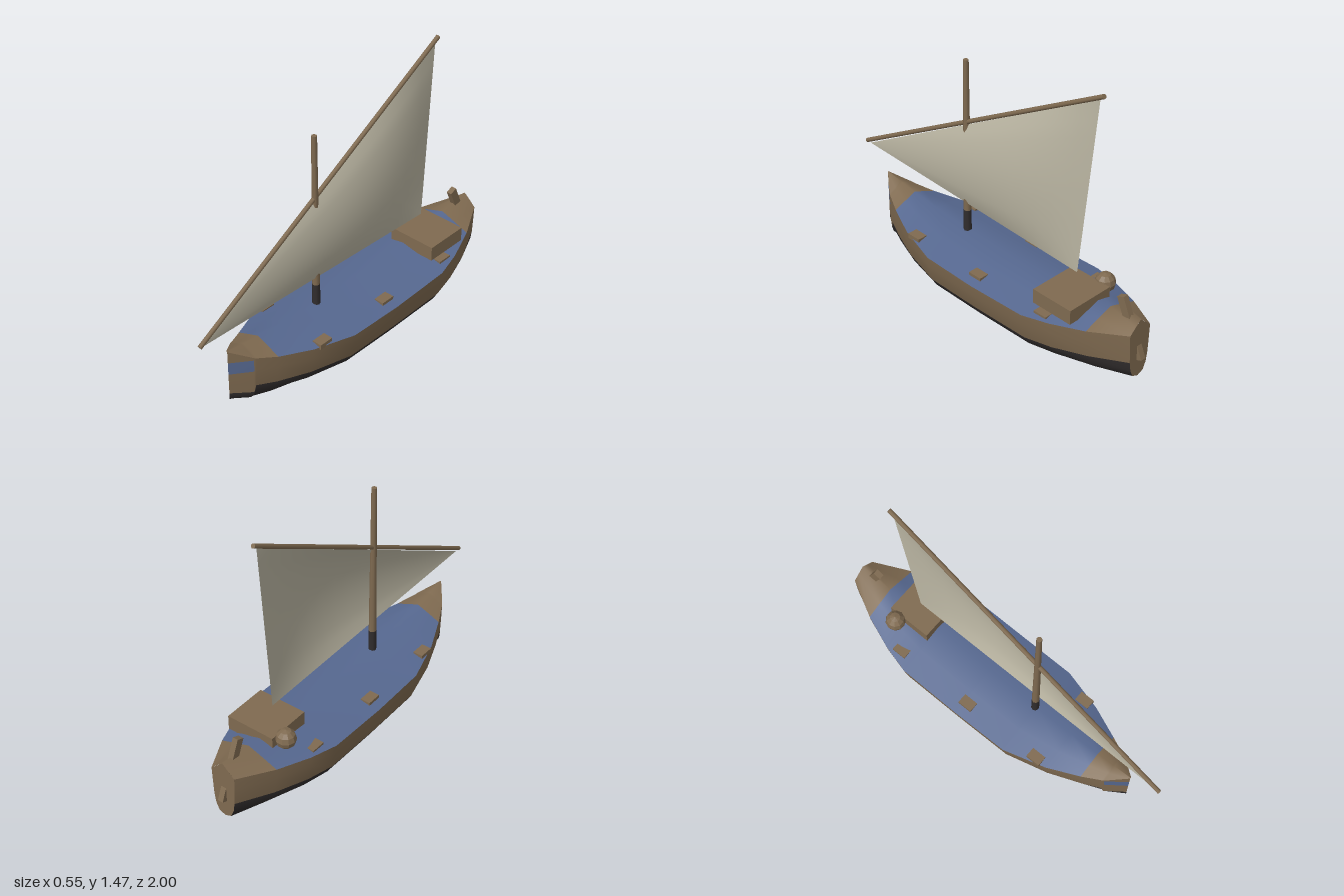
import * as THREE from 'three';

const mat = (name, color, extra = {}) => {
  const m = new THREE.MeshStandardMaterial({ color, ...extra });
  m.name = name;
  return m;
};

// Skin a list of equal-length rings; pick(i, j) gives each cell its material index
function loft(rings, pick = () => 0) {
  const n = rings[0].length;
  const buckets = [];
  for (let i = 0; i < rings.length - 1; i++) {
    for (let j = 0; j < n - 1; j++) {
      const a = i * n + j, b = a + 1, c = b + n, d = a + n;
      (buckets[pick(i, j)] ??= []).push(a, b, c, a, c, d);
    }
  }
  const geo = new THREE.BufferGeometry();
  geo.setAttribute('position', new THREE.Float32BufferAttribute(rings.flat(2), 3));
  const index = [];
  buckets.forEach((list, m) => {
    geo.addGroup(index.length, list.length, m);
    index.push(...list);
  });
  geo.setIndex(index);
  geo.computeVertexNormals();
  return geo;
}

// Hull stations, bow to stern: z, half width, keel, waterline, deck edge, deck centre, stripe bottom and top
const STATIONS = [
  [0.83, 0.004, 0.08, 0.12, 0.38, 0.385, 0.46, 0.73],
  [0.73, 0.082, 0.045, 0.105, 0.325, 0.365, 0.61, 0.93],
  [0.72, 0.087, 0.042, 0.145, 0.32, 0.363, 0.6, 0.9],
  [0.62, 0.135, 0.025, 0.13, 0.295, 0.35, 0.6, 0.87],
  [0.45, 0.208, 0.012, 0.12, 0.275, 0.331, 0.6, 0.85],
  [0.22, 0.272, 0.003, 0.112, 0.26, 0.317, 0.6, 0.85],
  [-0.1, 0.275, 0, 0.11, 0.254, 0.312, 0.6, 0.85],
  [-0.45, 0.274, 0.004, 0.115, 0.266, 0.323, 0.6, 0.85],
  [-0.6, 0.237, 0.01, 0.122, 0.278, 0.335, 0.6, 0.85],
  [-0.78, 0.17, 0.023, 0.138, 0.295, 0.355, 0.6, 0.85],
  [-0.97, 0.07, 0.045, 0.155, 0.317, 0.38, 0.6, 0.85],
];

// Cross-section from the left deck edge, under the keel, to the right deck edge
function section([z, w, keel, wl, edge, , lo, hi]) {
  const top = edge - wl, low = wl - keel;
  const half = [
    [w, edge, z],
    [w * 0.99, wl + top * hi, z],
    [w * 0.965, wl + top * lo, z],
    [w * 0.9, wl, z],
    [w * 0.78, keel + low * 0.52, z],
    [w * 0.54, keel + low * 0.15, z],
  ];
  return [...half, [0, keel, z], ...half.map(([x, y]) => [-x, y, z]).reverse()];
}

export function createModel() {
  const group = new THREE.Group();
  const wood = mat('wood', 0x7f6a50);
  const blue = mat('deckBlue', 0x566890);
  const dark = mat('darkTar', 0x312d2d);
  const cloth = mat('sailCloth', 0xbab5a2, { side: THREE.DoubleSide });

  const add = (name, geo, material, x = 0, y = 0, z = 0) => {
    const mesh = new THREE.Mesh(geo, material);
    mesh.name = name;
    mesh.position.set(x, y, z);
    group.add(mesh);
    return mesh;
  };

  // Hull: dark bottom, wooden topsides, blue bow patches
  const rings = STATIONS.map(section);
  add('hull', loft(rings, (i, j) => {
    if (j >= 3 && j <= 8) return 2;
    return i === 0 && (j === 1 || j === 10) ? 1 : 0;
  }), [wood, blue, dark]);

  // Cambered deck, bare wood at both ends
  const deck = STATIONS.map(([z, w, , , edge, centre]) => {
    const mid = edge + (centre - edge) * 0.52;
    return [[-w, edge, z], [-w / 2, mid, z], [0, centre, z], [w / 2, mid, z], [w, edge, z]];
  });
  add('deck', loft(deck, (i) => (i >= 3 && i <= 8 ? 1 : 0)), [wood, blue]);

  // Flat transom closing the stern
  const outline = [[0, 0.38], ...rings.at(-1)].map(([x, y]) => new THREE.Vector2(x, y));
  const transom = new THREE.ShapeGeometry(new THREE.Shape(outline));
  transom.rotateY(Math.PI);
  add('transom', transom, wood, 0, 0, -0.97);

  // Slanted rudder post passing through the stern
  add('rudderPost', new THREE.BoxGeometry(0.03, 0.332, 0.044), wood, 0, 0.303, -0.915).rotation.x = 0.4;

  // Deck fittings
  add('hatch', new THREE.BoxGeometry(0.275, 0.08, 0.245), wood, 0.057, 0.343, -0.578);
  const ball = new THREE.SphereGeometry(0.054, 10, 6).toNonIndexed();
  ball.computeVertexNormals();
  add('roundPot', ball, wood, -0.115, 0.365, -0.64);
  for (const side of [1, -1]) {
    for (const [z, y] of [[0.378, 0.276], [-0.078, 0.268], [-0.53, 0.276]]) {
      add('cleat', new THREE.BoxGeometry(0.055, 0.028, 0.08), wood, side * 0.198, y, z);
    }
  }

  // Mast with a tarred foot
  add('mastFoot', new THREE.CylinderGeometry(0.02, 0.021, 0.14, 8), dark, 0, 0.365, 0.21);
  add('mast', new THREE.CylinderGeometry(0.014, 0.02, 0.865, 8), wood, 0, 0.8675, 0.21);

  // Slanting yard
  const low = new THREE.Vector3(0, 0.508, 0.995);
  const high = new THREE.Vector3(0, 1.458, -0.685);
  const yard = add('yard', new THREE.CylinderGeometry(0.012, 0.012, low.distanceTo(high), 8), wood);
  yard.position.lerpVectors(low, high, 0.5);
  yard.quaternion.setFromUnitVectors(new THREE.Vector3(0, 1, 0), high.clone().sub(low).normalize());

  // Triangular sail bellying to the left
  const tack = new THREE.Vector3(0, 0.502, 0.97);
  const peak = new THREE.Vector3(0, 1.435, -0.663);
  const clew = new THREE.Vector3(0.018, 0.455, -0.575);
  const sail = [];
  for (let i = 0; i <= 16; i++) {
    const t = i / 16;
    const a = tack.clone().lerp(peak, t), b = tack.clone().lerp(clew, t);
    const row = [];
    for (let j = 0; j <= 10; j++) {
      const s = j / 10;
      const p = a.clone().lerp(b, s);
      const belly = Math.sin(Math.PI * t ** 1.8) * Math.max(0, Math.sin(Math.PI * s)) ** 0.7;
      row.push([p.x + 0.057 * Math.max(0, belly), p.y, p.z]);
    }
    sail.push(row);
  }
  add('sail', loft(sail), [cloth]);

  return group;
}
